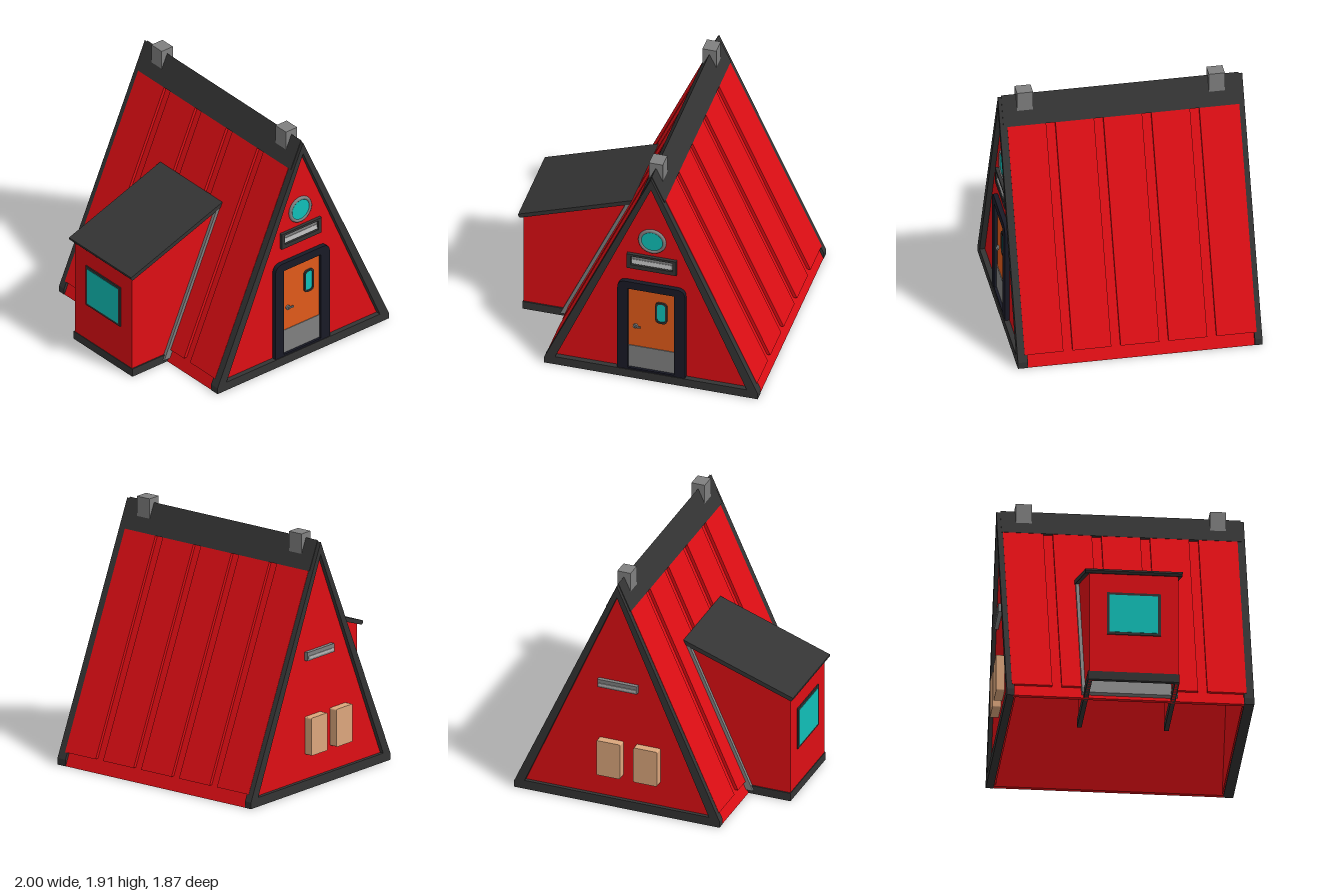
import * as THREE from 'three';

const mat = (color) => new THREE.MeshStandardMaterial({ color, side: THREE.DoubleSide });
const RED = mat(0xde0e14), DARK = mat(0x343434), GREY = mat(0x808080), LIGHT = mat(0xb4b4b4);
const NAVY = mat(0x191a26), ORANGE = mat(0xe05a1a), TEAL = mat(0x10c0b8), TAN = mat(0xdba67c);

const RIDGE = 0.18; // x of the roof ridge
// half width of the A-frame at height y, pushed out by d
const half = (y, d = 0) => (1.87 - y) / 2.22 + d;

const toShape = (pts) => new THREE.Shape(pts.map(([x, y]) => new THREE.Vector2(x, y)));

function roundRect(x0, y0, x1, y1, r, rBottom = r) {
  const s = new THREE.Shape();
  s.moveTo(x0 + rBottom, y0);
  s.lineTo(x1 - rBottom, y0);
  if (rBottom) s.quadraticCurveTo(x1, y0, x1, y0 + rBottom);
  s.lineTo(x1, y1 - r);
  if (r) s.quadraticCurveTo(x1, y1, x1 - r, y1);
  s.lineTo(x0 + r, y1);
  if (r) s.quadraticCurveTo(x0, y1, x0, y1 - r);
  s.lineTo(x0, y0 + rBottom);
  if (rBottom) s.quadraticCurveTo(x0, y0, x0 + rBottom, y0);
  return s;
}

export function createModel() {
  const root = new THREE.Group();
  root.name = 'cabin';

  const add = (parent, name, geo, material, x = 0, y = 0, z = 0) => {
    const m = new THREE.Mesh(geo, material);
    m.name = name;
    m.position.set(x, y, z);
    parent.add(m);
    return m;
  };
  const group = (name) => {
    const g = new THREE.Group();
    g.name = name;
    root.add(g);
    return g;
  };
  // extrude a shape between two z planes
  const prism = (parent, name, shape, z0, z1, material, x = 0) =>
    add(parent, name, new THREE.ExtrudeGeometry(shape, { depth: z1 - z0, bevelEnabled: false, curveSegments: 8 }),
      material, x, 0, z0);
  // box given by its limits
  const box = (parent, name, material, x0, x1, y0, y1, z0, z1) =>
    add(parent, name, new THREE.BoxGeometry(x1 - x0, y1 - y0, z1 - z0), material,
      (x0 + x1) / 2, (y0 + y1) / 2, (z0 + z1) / 2);
  // strip parallel to one roof slope, between two heights and two offsets
  const slope = (side, y0, y1, dIn, dOut) => toShape([
    [side * half(y0, dIn), y0], [side * half(y0, dOut), y0],
    [side * half(y1, dOut), y1], [side * half(y1, dIn), y1]]);

  // Roof: a base sheet with five raised panels on each slope
  const roof = group('roof');
  for (const side of [-1, 1]) {
    prism(roof, 'roofSheet', slope(side, 0, 1.73, -0.06, -0.025), -0.85, 0.87, RED, RIDGE);
    const edges = [[-0.86, -0.56], [-0.49, -0.2], [-0.13, 0.16], [0.23, 0.52], [0.59, 0.88]];
    for (const [z0, z1] of edges)
      prism(roof, 'roofPanel', slope(side, 0.1, 1.68, -0.03, 0.002), z0, z1, RED, RIDGE);
  }
  prism(roof, 'ridgeCap', toShape([[-0.1, 1.66], [0, 1.877], [0.1, 1.66], [0.06, 1.66], [0, 1.78], [-0.06, 1.66]]),
    -0.87, 0.91, DARK, RIDGE);
  for (const z of [-0.7, 0.74])
    box(roof, 'chimney', GREY, 0.127, 0.233, 1.745, 1.915, z - 0.06, z + 0.06);

  // End walls and their dark trim frames
  const walls = group('endWalls');
  const wall = toShape([[-0.79, 0.01], [0.79, 0.01], [0, 1.8]]);
  prism(walls, 'frontWall', wall, 0.85, 0.895, RED, RIDGE);
  prism(walls, 'backWall', wall, -0.87, -0.83, RED, RIDGE);
  const trim = toShape([[-0.82, 0], [0.82, 0], [0.82, 0.05], [0, 1.866], [-0.82, 0.05]]);
  trim.holes.push(toShape([[-0.735, 0.07], [0, 1.77], [0.735, 0.07]]));
  prism(walls, 'frontTrim', trim, 0.86, 0.935, DARK, RIDGE);
  prism(walls, 'backTrim', trim, -0.9, -0.843, DARK, RIDGE);

  // Front door
  const door = group('door');
  const frame = roundRect(-0.08, 0.07, 0.44, 0.88, 0.07, 0);
  frame.holes.push(roundRect(0, 0.085, 0.355, 0.815, 0));
  prism(door, 'doorFrame', frame, 0.87, 0.93, NAVY);
  box(door, 'doorLeaf', ORANGE, 0, 0.355, 0.08, 0.815, 0.88, 0.905);
  box(door, 'kickPlate', GREY, 0, 0.355, 0.085, 0.28, 0.89, 0.91);
  const paneFrame = roundRect(0.208, 0.53, 0.298, 0.72, 0.035);
  paneFrame.holes.push(roundRect(0.221, 0.543, 0.285, 0.707, 0.028));
  prism(door, 'doorWindowFrame', paneFrame, 0.9, 0.918, DARK);
  prism(door, 'doorWindowPane', roundRect(0.215, 0.537, 0.291, 0.713, 0.03), 0.9, 0.91, TEAL);
  const rose = add(door, 'handleRose', new THREE.CylinderGeometry(0.018, 0.018, 0.016, 16), GREY, 0.054, 0.467, 0.912);
  rose.rotation.x = Math.PI / 2;
  box(door, 'handleLever', GREY, 0.05, 0.096, 0.461, 0.473, 0.918, 0.929);

  // Round gable window
  const porthole = group('roundWindow');
  add(porthole, 'windowRing', new THREE.TorusGeometry(0.094, 0.014, 8, 32), GREY, RIDGE, 1.27, 0.9);
  const glass = add(porthole, 'windowGlass', new THREE.CylinderGeometry(0.09, 0.09, 0.02, 32), TEAL, RIDGE, 1.27, 0.895);
  glass.rotation.x = Math.PI / 2;

  // Front vent: framed slats
  const vent = group('frontVent');
  const ventFrame = roundRect(-0.01, 1, 0.37, 1.13, 0);
  ventFrame.holes.push(roundRect(0.02, 1.035, 0.34, 1.112, 0));
  prism(vent, 'ventFrame', ventFrame, 0.89, 0.92, DARK);
  box(vent, 'ventBack', GREY, 0.02, 0.34, 1.035, 1.112, 0.885, 0.9);
  const slat = box(vent, 'ventSlat', LIGHT, 0.025, 0.335, 1.04, 1.075, 0.895, 0.91);
  slat.rotation.x = -0.3;

  // Back wall fittings
  const back = group('backFittings');
  box(back, 'backVent', GREY, 0.02, 0.335, 0.985, 1.05, -0.9, -0.86);
  box(back, 'backVentSlat', LIGHT, 0.03, 0.325, 1.0, 1.02, -0.905, -0.89);
  for (const x of [-0.06, 0.235])
    prism(back, 'wallBox', roundRect(x - 0.095, 0.26, x + 0.095, 0.55, 0.012), -0.933, -0.86, TAN);

  // Side annex with a lean-to roof, running through the main slope
  const annex = group('annex');
  const side = toShape([[-0.965, 0], [-0.125, 0], [-0.125, 1.165], [-0.965, 0.87]]);
  prism(annex, 'annexFrontWall', side, 0.32, 0.34, RED);
  prism(annex, 'annexBackWall', side, -0.32, -0.3, RED);
  box(annex, 'annexEndWall', RED, -0.967, -0.947, 0, 0.875, -0.32, 0.34);
  for (const z of [-0.313, 0.333])
    box(annex, 'annexSidePlinth', DARK, -0.972, -0.12, 0, 0.066, z - 0.017, z + 0.017);
  box(annex, 'annexEndPlinth', DARK, -0.972, -0.94, 0, 0.066, -0.33, 0.35);
  prism(annex, 'annexRoof', toShape([[-1, 0.872], [-0.985, 0.856], [-0.115, 1.163], [-0.125, 1.195], [-1, 0.886]]),
    -0.35, 0.37, DARK);
  prism(annex, 'annexJoint', slope(-1, 0.03, 1.165, -0.07, 0.03), -0.345, 0.365, GREY, RIDGE);
  box(annex, 'annexWindowFrame', DARK, -0.976, -0.96, 0.37, 0.71, -0.19, 0.21);
  box(annex, 'annexWindowPane', TEAL, -0.979, -0.96, 0.39, 0.69, -0.17, 0.19);

  return root;
}
